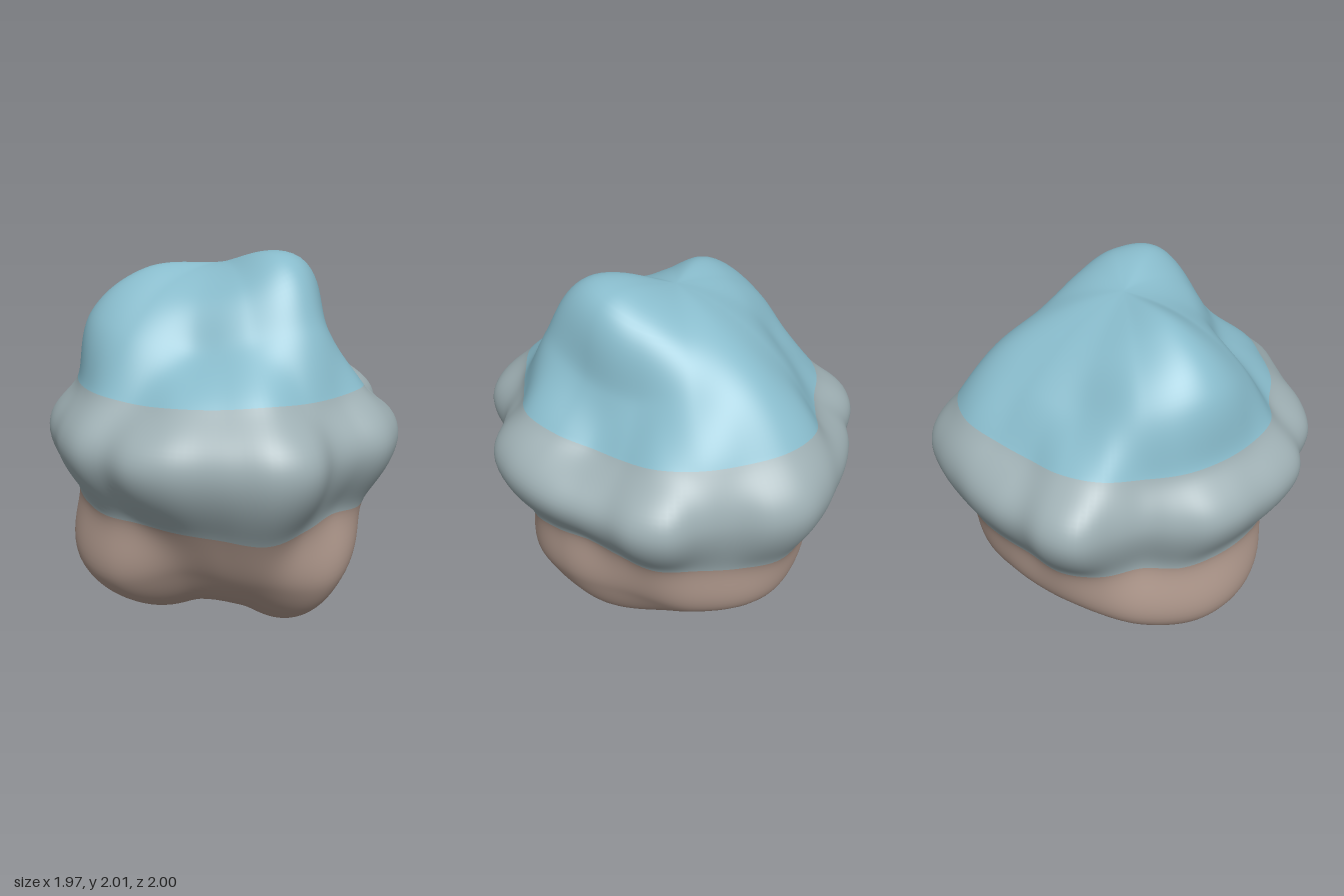
import * as THREE from 'three';

// Radii around the blob at each latitude, evenly spaced from +x toward the front.
const rings = [
  [90, [0.92]],
  [66, [0.89, 0.95, 1.04, 1.07, 0.94, 0.88, 0.91, 0.985, 0.915, 0.85, 0.85, 0.88]],
  [45, [0.83, 0.74, 0.8, 0.94, 0.85, 0.77, 0.89, 0.97, 0.89, 0.78, 0.82, 0.9]],
  [23.6, [0.873, 0.835, 0.755, 0.732, 0.815, 0.89, 0.873, 0.895, 0.95, 0.906, 0.879, 0.84,
    0.879, 0.862, 0.846, 0.835, 0.808, 0.857, 0.84, 0.8, 0.835, 0.928, 0.944, 0.895]],
  [5.7, [0.93, 1.0, 0.985, 0.92, 0.915, 0.94, 0.965, 0.99, 1.0, 0.95, 0.95, 1.07,
    1.09, 1.035, 1.005, 1.02, 1.015, 0.965, 0.99, 0.97, 0.94, 0.94, 0.93, 0.875,
    0.835, 0.89, 1.0, 0.995, 0.935, 0.945, 0.955, 0.97, 1.01, 1.04, 1.005, 0.925]],
  [-18.4, [0.85, 0.85, 0.8, 0.78, 0.83, 0.88, 0.84, 0.89, 0.95, 0.89, 0.86, 0.84,
    0.86, 0.85, 0.84, 0.83, 0.79, 0.84, 0.86, 0.83, 0.85, 0.89, 0.92, 0.88]],
  [-40, [0.96, 0.9, 0.97, 1.05, 0.95, 0.87, 1.03, 1.06, 1.0, 0.93, 0.93, 1.0]],
  [-64, [0.95, 1.02, 1.08, 1.1, 0.97, 0.94, 1.03, 1.04, 0.96, 0.85, 0.79, 0.85]],
  [-90, [0.91]],
];
const SEGMENTS = 180, STEPS = 12;

function catmull(a, b, c, d, t) {
  return b + 0.5 * t * (c - a + t * (2 * a - 5 * b + 4 * c - d + t * (3 * (b - c) + d - a)));
}

// Smooth radius of one ring at a turn of u (0..1)
function ringRadius(radii, u) {
  const n = radii.length, f = u * n, i = Math.floor(f);
  const at = (k) => radii[(k + n) % n];
  return catmull(at(i - 1), at(i), at(i + 1), at(i + 2), f - i);
}

// Tilt of the surface at a pole, taken from the ring beside it
function poleTilt(radii, u) {
  const turn = Math.PI * 2;
  return radii.reduce((sum, r, i) => sum + r * Math.cos(turn * (u - i / radii.length)), 0) * 2 / radii.length;
}

// Ring lookup; past a pole it gives a value that keeps the pole smooth
function sample(k, u) {
  const last = rings.length - 1;
  if (k >= 0 && k <= last) return [rings[k][0], ringRadius(rings[k][1], u)];
  const [lat, radii] = rings[k < 0 ? 1 : last - 1];
  return [Math.sign(lat) * 180 - lat, ringRadius(radii, u) - 2 * poleTilt(radii, u)];
}

function blobGeometry() {
  const rows = (rings.length - 1) * STEPS;
  const positions = [], indices = [];
  for (let i = 0; i <= rows; i++) {
    const k = Math.min(Math.floor(i / STEPS), rings.length - 2), t = i / STEPS - k;
    for (let j = 0; j < SEGMENTS; j++) {
      const u = j / SEGMENTS;
      const p = [k - 1, k, k + 1, k + 2].map((m) => sample(m, u));
      const lat = THREE.MathUtils.degToRad(catmull(p[0][0], p[1][0], p[2][0], p[3][0], t));
      const r = catmull(p[0][1], p[1][1], p[2][1], p[3][1], t);
      const h = r * Math.cos(lat), a = u * Math.PI * 2;
      positions.push(h * Math.cos(a), 1 + r * Math.sin(lat), h * Math.sin(a));
    }
  }
  // Each pole uses a single vertex
  const id = (i, j) => i * SEGMENTS + (i === 0 || i === rows ? 0 : j % SEGMENTS);
  const geometry = new THREE.BufferGeometry();
  // Bands: cap above ring 3, belt between rings 3 and 5, base below
  [[0, 3], [3, 5], [5, 8]].forEach(([from, to], band) => {
    const start = indices.length;
    for (let i = from * STEPS; i < to * STEPS; i++) {
      for (let j = 0; j < SEGMENTS; j++) {
        const a = id(i, j), b = id(i, j + 1), c = id(i + 1, j), d = id(i + 1, j + 1);
        if (i > 0) indices.push(a, b, c);
        if (i < rows - 1) indices.push(b, d, c);
      }
    }
    geometry.addGroup(start, indices.length - start, band);
  });
  geometry.setAttribute('position', new THREE.Float32BufferAttribute(positions, 3));
  geometry.setIndex(indices);
  geometry.computeVertexNormals();
  return geometry;
}

function flat(name, color) {
  const material = new THREE.MeshStandardMaterial({ color });
  material.name = name;
  return material;
}

export function createModel() {
  const group = new THREE.Group();
  group.name = 'lumpyBlob';
  const blob = new THREE.Mesh(blobGeometry(), [
    flat('paleBlue', 0x88bbcb),
    flat('greyBelt', 0x9eafb3),
    flat('dustyBrown', 0xb0998d),
  ]);
  blob.name = 'blobBody';
  group.add(blob);
  return group;
}
